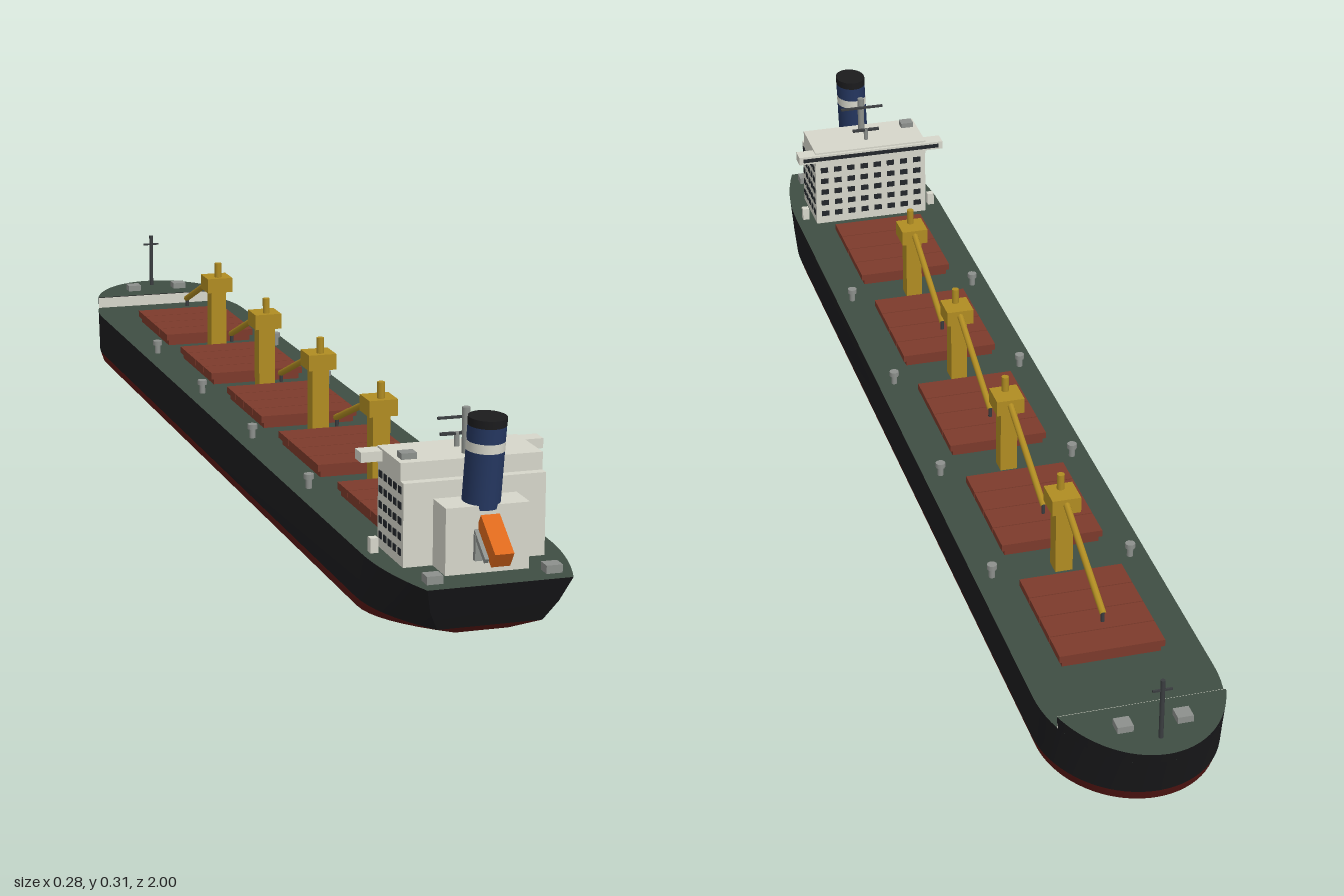
import * as THREE from 'three';
import { mergeGeometries, toCreasedNormals } from 'three/addons/utils/BufferGeometryUtils.js';

const mat = (color) => new THREE.MeshStandardMaterial({ color });
const M = {
  black: mat(0x1b1b1d), red: mat(0x5a1815), deck: mat(0x3f4d43), hatch: mat(0x7c3a2b),
  crane: mat(0xb08c22), house: mat(0xd6d6ca), funnel: mat(0x24365f), grey: mat(0x8c908c),
  glass: mat(0x22262a), orange: mat(0xdc681c), dark: mat(0x3a3d40),
};

const boxGeo = (w, h, d, x, y, z) => new THREE.BoxGeometry(w, h, d).translate(x, y, z);
const cylGeo = (r, h, x, y, z, n = 10) => new THREE.CylinderGeometry(r, r, h, n).translate(x, y, z);

function add(parent, name, geo, material) {
  const mesh = new THREE.Mesh(geo, material);
  mesh.name = name;
  parent.add(mesh);
  return mesh;
}

// Box given by its limits
const span = (x0, x1, y0, y1, z0, z1) =>
  boxGeo(x1 - x0, y1 - y0, z1 - z0, (x0 + x1) / 2, (y0 + y1) / 2, (z0 + z1) / 2);

// Waterlines: half width w, bow tip, stern end, stern half width sw, start of stern taper
const LEVELS = [
  { y: 0, w: 0.134, bow: -0.955, end: 0.915, sw: 0.04, taper: 0.76 },
  { y: 0.018, w: 0.14, bow: -0.963, end: 0.947, sw: 0.078, taper: 0.77 },
  { y: 0.05, w: 0.14, bow: -0.976, end: 0.965, sw: 0.095, taper: 0.79 },
  { y: 0.09, w: 0.14, bow: -0.992, end: 0.987, sw: 0.107, taper: 0.8 },
];
const SHOULDER = -0.79;
const BOW_STEPS = 18, STERN_STEPS = 8;

function halfWidth(l, z) {
  if (z < SHOULDER) {
    const t = (z - SHOULDER) / (l.bow - SHOULDER);
    return l.w * Math.sqrt(Math.max(0, 1 - t * t));
  }
  if (z > l.taper) return l.w - (l.w - l.sw) * ((z - l.taper) / (l.end - l.taper)) ** 2;
  return l.w;
}

// Half outline of a waterline from bow to stern (or to a cut at z = stop)
function outline(l, stop) {
  const zs = [];
  const last = stop === undefined ? SHOULDER : stop;
  const maxA = Math.acos((last - SHOULDER) / (l.bow - SHOULDER));
  for (let i = 0; i <= BOW_STEPS; i++)
    zs.push(SHOULDER + (l.bow - SHOULDER) * Math.cos((maxA * i) / BOW_STEPS));
  if (stop === undefined)
    for (let i = 0; i <= STERN_STEPS; i++) zs.push(l.taper + ((l.end - l.taper) * i) / STERN_STEPS);
  return zs.map((z) => [halfWidth(l, z), l.y, z]);
}

function meshFrom(tris) {
  const g = new THREE.BufferGeometry();
  g.setAttribute('position', new THREE.Float32BufferAttribute(tris.flat(), 3));
  g.computeVertexNormals();
  return toCreasedNormals(g, 0.5);
}
const mirror = (p) => [-p[0], p[1], p[2]];

// Side shell through a stack of outlines
function shell(lines) {
  const rings = lines.map((l) => [...l, ...l.map(mirror).reverse()]);
  const t = [];
  for (let k = 0; k + 1 < rings.length; k++) {
    const a = rings[k], b = rings[k + 1], n = a.length;
    for (let i = 0; i < n - 1; i++) t.push(a[i], b[i], a[i + 1], b[i], b[i + 1], a[i + 1]);
  }
  return meshFrom(t);
}

// Flat plate inside an outline
function plate(line, up) {
  const t = [];
  for (let i = 0; i + 1 < line.length; i++) {
    const r = line[i], s = line[i + 1], l = mirror(r), m = mirror(s);
    if (up) t.push(l, m, r, r, m, s);
    else t.push(l, r, m, r, s, m);
  }
  return meshFrom(t);
}

// Rod between two points
function rod(a, b, r, n = 8) {
  const A = new THREE.Vector3(...a), B = new THREE.Vector3(...b);
  return new THREE.TubeGeometry(new THREE.LineCurve3(A, B), 1, r, n, false);
}

function buildHull(ship) {
  const g = new THREE.Group();
  g.name = 'hull';
  const lines = LEVELS.map((l) => outline(l));
  add(g, 'bottomPlate', plate(lines[0], false), M.red);
  add(g, 'bootTop', shell(lines.slice(0, 2)), M.red);
  add(g, 'hullSides', shell(lines.slice(1)), M.black);
  add(g, 'mainDeck', plate(lines[3], true), M.deck);
  // Raised forecastle
  const stop = -0.875;
  const top = outline({ ...LEVELS[3], y: 0.11, bow: -1 }, stop);
  add(g, 'forecastleSides', shell([outline(LEVELS[3], stop), top]), M.black);
  add(g, 'forecastleDeck', plate(top, true), M.deck);
  add(g, 'forecastleBulkhead', span(-0.127, 0.127, 0.09, 0.109, -0.876, -0.873), M.house);
  ship.add(g);
}

// Coaming with four cover panels
function buildHatch(z) {
  const g = new THREE.Group();
  g.name = 'cargoHatch';
  g.position.z = z;
  add(g, 'hatchCoaming', span(-0.077, 0.077, 0.09, 0.102, -0.102, 0.102), M.hatch);
  for (let i = 0; i < 4; i++) {
    const c = (i - 1.5) * 0.0535;
    add(g, 'hatchPanel', span(-0.082, 0.082, 0.1, 0.111, c - 0.0258, c + 0.0258), M.hatch);
  }
  return g;
}

function buildCrane(z) {
  const g = new THREE.Group();
  g.name = 'deckCrane';
  g.position.z = z;
  add(g, 'cranePost', span(-0.014, 0.014, 0.09, 0.202, -0.014, 0.014), M.crane);
  add(g, 'craneHouse', span(-0.023, 0.023, 0.2, 0.226, -0.024, 0.024), M.crane);
  add(g, 'craneTopMast', cylGeo(0.006, 0.028, 0, 0.238, 0.01), M.crane);
  add(g, 'craneJib', rod([0, 0.217, -0.02], [0, 0.14, -0.213], 0.0055), M.crane);
  add(g, 'craneHook', cylGeo(0.003, 0.016, 0, 0.134, -0.21), M.dark);
  return g;
}

function buildHouse(ship) {
  const g = new THREE.Group();
  g.name = 'deckhouse';
  add(g, 'accommodation', span(-0.106, 0.106, 0.09, 0.212, 0.768, 0.88), M.house);
  add(g, 'bridge', span(-0.106, 0.106, 0.212, 0.238, 0.765, 0.866), M.house);
  add(g, 'bridgeWings', span(-0.138, 0.138, 0.22, 0.235, 0.76, 0.787), M.house);
  add(g, 'engineCasing', span(-0.062, 0.062, 0.09, 0.187, 0.88, 0.932), M.house);
  add(g, 'bridgeWindows', span(-0.13, 0.13, 0.224, 0.231, 0.7585, 0.762), M.glass);
  // Window rows on the sides and the forward face
  const panes = [];
  for (let row = 0; row < 5; row++) {
    const y = 0.11 + row * 0.0225;
    for (let i = 0; i < 5; i++)
      for (const s of [-1, 1]) panes.push(boxGeo(0.003, 0.01, 0.012, s * 0.106, y, 0.782 + i * 0.021));
    for (let i = 0; i < 8; i++) panes.push(boxGeo(0.014, 0.01, 0.003, (i - 3.5) * 0.0255, y, 0.768));
  }
  add(g, 'cabinWindows', mergeGeometries(panes), M.glass);
  // Roof equipment
  add(g, 'roofLocker', span(-0.099, -0.076, 0.238, 0.247, 0.83, 0.85), M.grey);
  add(g, 'radarMast', cylGeo(0.006, 0.068, 0, 0.271, 0.84), M.grey);
  add(g, 'radarScanner', boxGeo(0.08, 0.003, 0.006, 0, 0.289, 0.832), M.dark);
  add(g, 'forwardRadarPost', cylGeo(0.004, 0.022, 0, 0.248, 0.802), M.grey);
  add(g, 'forwardRadarScanner', boxGeo(0.05, 0.004, 0.006, 0, 0.257, 0.802), M.dark);
  ship.add(g);
}

// Oval funnel raked aft, in coloured bands
function buildFunnel(ship) {
  const g = new THREE.Group();
  g.name = 'funnel';
  const band = (name, y0, y1, material, grow = 1) => {
    const geo = new THREE.CylinderGeometry(0.0265 * grow, 0.0265 * grow, y1 - y0, 24);
    geo.scale(1, 1, 1.25).translate(0, (y0 + y1) / 2, 0);
    const p = geo.attributes.position;
    for (let i = 0; i < p.count; i++) p.setZ(i, p.getZ(i) + 0.904 + (p.getY(i) - 0.187) * 0.17);
    add(g, name, geo, material);
  };
  band('funnelLower', 0.18, 0.264, M.funnel);
  band('funnelBand', 0.264, 0.278, M.house, 1.01);
  band('funnelUpper', 0.278, 0.301, M.funnel);
  band('funnelCap', 0.301, 0.313, M.black, 1.01);
  ship.add(g);
}

// Free-fall lifeboat on its sloping cradle
function buildLifeboat(ship) {
  const g = new THREE.Group();
  g.name = 'lifeboatStation';
  g.position.set(0, 0.144, 0.964);
  g.rotation.x = Math.atan2(0.045, 0.065);
  add(g, 'lifeboat', boxGeo(0.028, 0.027, 0.071, 0, 0, -0.002), M.orange);
  for (const s of [-1, 1]) add(g, 'cradleRail', boxGeo(0.006, 0.008, 0.06, s * 0.017, -0.014, -0.008), M.grey);
  ship.add(g);
  add(ship, 'cradleSupport', span(-0.021, 0.021, 0.11, 0.147, 0.93, 0.94), M.grey);
}

function buildFittings(ship) {
  for (const s of [-1, 1]) {
    for (let i = 0; i < 4; i++) {
      const z = -0.475 + i * 0.31;
      add(ship, 'ventPost', cylGeo(0.005, 0.02, s * 0.112, 0.099, z), M.grey);
      add(ship, 'ventCap', cylGeo(0.008, 0.008, s * 0.112, 0.109, z), M.grey);
    }
    add(ship, 'bowWinch', boxGeo(0.024, 0.011, 0.024, s * 0.045, 0.115, -0.925), M.grey);
    add(ship, 'sternWinch', boxGeo(0.024, 0.012, 0.022, s * 0.088, 0.096, 0.953), M.grey);
    add(ship, 'sideLocker', span(s * 0.122 - 0.006, s * 0.122 + 0.006, 0.09, 0.112, 0.79, 0.802), M.house);
  }
  add(ship, 'foremast', cylGeo(0.0035, 0.1, 0, 0.159, -0.96), M.dark);
  add(ship, 'foremastYard', boxGeo(0.03, 0.003, 0.003, 0, 0.192, -0.96), M.dark);
}

export function createModel() {
  const ship = new THREE.Group();
  ship.name = 'bulkCarrier';
  buildHull(ship);
  for (let i = 0; i < 5; i++) ship.add(buildHatch(-0.63 + i * 0.31));
  for (let i = 0; i < 4; i++) ship.add(buildCrane(-0.475 + i * 0.31));
  buildHouse(ship);
  buildFunnel(ship);
  buildLifeboat(ship);
  buildFittings(ship);
  return ship;
}
